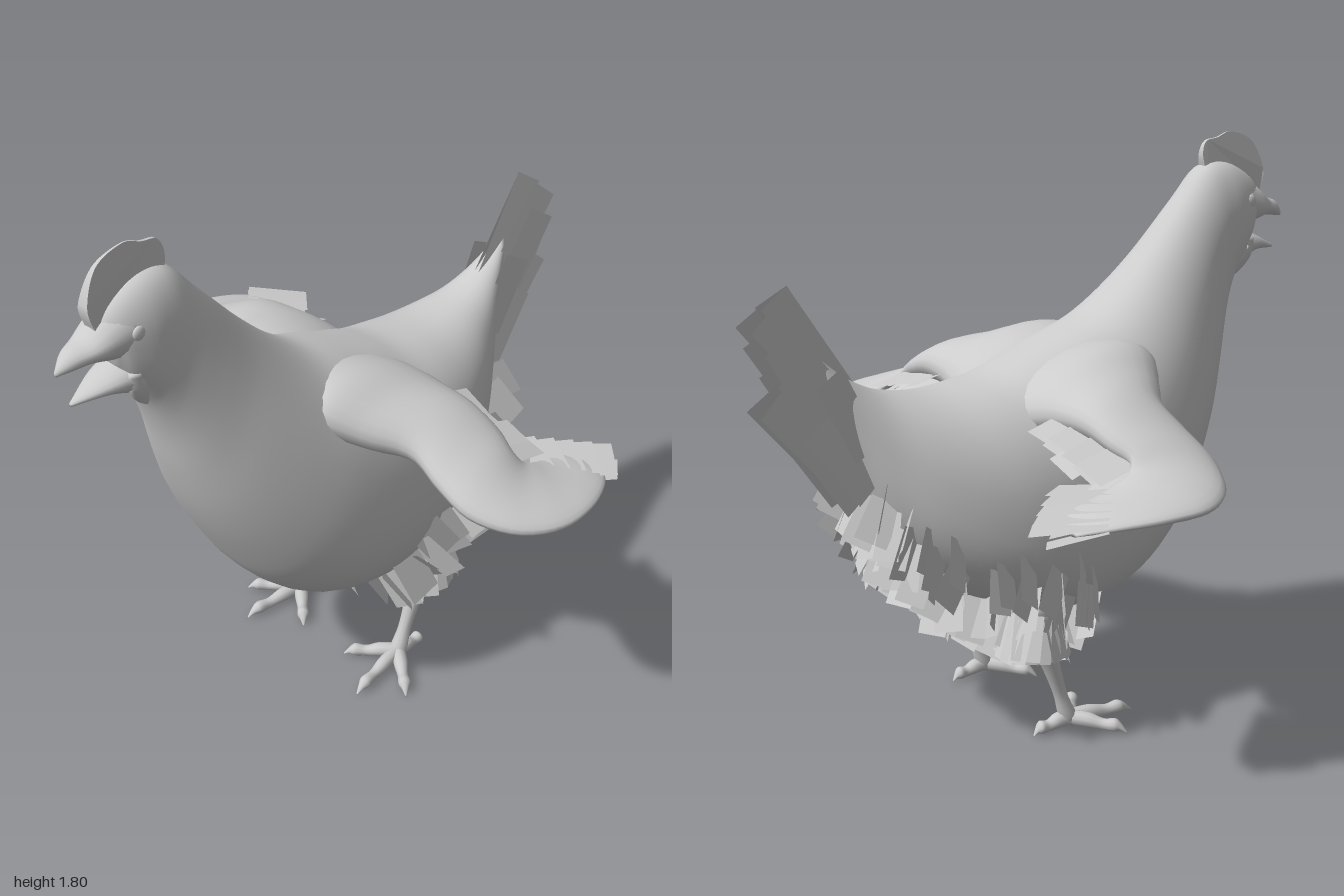
import * as THREE from 'three';
import { mergeGeometries } from 'three/addons/utils/BufferGeometryUtils.js';

const V = (x, y, z) => new THREE.Vector3(x, y, z);
const skin = new THREE.MeshStandardMaterial({ color: 0xcccccc });
const plume = new THREE.MeshStandardMaterial({ color: 0xcccccc, side: THREE.DoubleSide });
const rand = (i) => { const s = Math.sin(i * 127.1 + 11.7) * 43758.5453; return s - Math.floor(s); };

// Smooth surface through sections [ax,ay,az, bx,by,bz, halfWidth]; a and b are opposite rim points
function surface(sections, T, power = 1, sag = 0) {
  const A = new THREE.CatmullRomCurve3(sections.map(s => V(s[0], s[1], s[2])));
  const B = new THREE.CatmullRomCurve3(sections.map(s => V(s[3], s[4], s[5])));
  const W = new THREE.CatmullRomCurve3(sections.map((s, i) => V(s[6], i, 0)));
  const bend = (v) => Math.sign(v) * Math.abs(v) ** power;
  const mid = (u) => A.getPoint(u).add(B.getPoint(u)).multiplyScalar(0.5);
  const at = (u, t) => {
    const a = A.getPoint(u), m = mid(u), c = Math.cos(t);
    return m.clone().addScaledVector(a.sub(m), bend(c))
      .addScaledVector(T, W.getPoint(u).x * bend(Math.sin(t)) * (1 - sag * c));
  };
  return { mid, at };
}

function skinOf(surf, rows, cols) {
  const pos = [], idx = [];
  for (let i = 0; i <= rows; i++)
    for (let j = 0; j < cols; j++) pos.push(...surf.at(i / rows, j / cols * Math.PI * 2).toArray());
  const c0 = (rows + 1) * cols, c1 = c0 + 1;
  pos.push(...surf.mid(0).toArray(), ...surf.mid(1).toArray());
  for (let j = 0; j < cols; j++) {
    const k = (j + 1) % cols;
    for (let i = 0; i < rows; i++) {
      const a = i * cols + j, b = i * cols + k;
      idx.push(a, b, a + cols, b, b + cols, a + cols);
    }
    idx.push(c0, k, j, c1, rows * cols + j, rows * cols + k);
  }
  // Turn the faces outward whichever way the sections run
  const p = (i) => V(pos[i * 3], pos[i * 3 + 1], pos[i * 3 + 2]);
  let volume = 0;
  for (let i = 0; i < idx.length; i += 3) volume += p(idx[i]).dot(p(idx[i + 1]).cross(p(idx[i + 2])));
  if (volume < 0) idx.reverse();
  const g = new THREE.BufferGeometry();
  g.setAttribute('position', new THREE.Float32BufferAttribute(pos, 3));
  g.setIndex(idx);
  g.computeVertexNormals();
  return g;
}

// Round limb through points [x,y,z,r], with ring axes A and T
const limb = (pts, A, T) => skinOf(surface(pts.map(([x, y, z, r]) => [
  x + A.x * r, y + A.y * r, z + A.z * r, x - A.x * r, y - A.y * r, z - A.z * r, r]), T), pts.length * 4, 10);

// Flat quill: a rectangle from root along dir, its breadth lying along side
function feather(root, dir, side, length, width) {
  const y = dir.clone().normalize();
  const z = side.clone().cross(y).normalize();
  const x = y.clone().cross(z);
  return new THREE.PlaneGeometry(width, length).translate(0, length / 2, 0)
    .applyMatrix4(new THREE.Matrix4().makeBasis(x, y, z).setPosition(root));
}

export function createModel() {
  const hen = new THREE.Group();
  const add = (name, geometry, material = skin) => {
    const mesh = new THREE.Mesh(geometry, material);
    mesh.name = name;
    hen.add(mesh);
    return mesh;
  };
  const X = V(1, 0, 0), Y = V(0, 1, 0), Z = V(0, 0, 1);
  // Sections on the centre plane: top z,y, bottom z,y, half width
  const central = (list) => list.map(([tz, ty, bz, by, w]) => [0, ty, tz, 0, by, bz, w]);

  // Head, neck and body in one skin
  const body = surface(central([
    [.87, 1.61, .83, 1.48, .045], [.83, 1.655, .8, 1.42, .078], [.73, 1.705, .765, 1.36, .1],
    [.64, 1.70, .735, 1.3, .108], [.55, 1.61, .70, 1.2, .125], [.4, 1.45, .66, 1.05, .17],
    [.28, 1.34, .60, .88, .225], [.17, 1.265, .51, .7, .275], [.05, 1.22, .4, .53, .315],
    [-.1, 1.165, .25, .41, .34], [-.2, 1.13, .05, .35, .342], [-.3, 1.115, -.15, .37, .325],
    [-.4, 1.11, -.35, .46, .28], [-.5, 1.12, -.5, .59, .22], [-.6, 1.145, -.6, .74, .15],
    [-.7, 1.2, -.67, .92, .085], [-.79, 1.28, -.74, 1.1, .03],
  ]), X, .86, .1);
  add('body', skinOf(body, 64, 40));

  // Open beak
  add('upperBeak', skinOf(surface(central([
    [.78, 1.66, .79, 1.49, .085], [.86, 1.62, .85, 1.5, .075], [.91, 1.58, .91, 1.515, .055],
    [.96, 1.562, .96, 1.51, .034], [1, 1.52, 1, 1.505, .005]]), X), 16, 16));
  add('lowerBeak', skinOf(surface(central([
    [.78, 1.49, .78, 1.37, .08], [.86, 1.46, .86, 1.40, .058], [.965, 1.41, .965, 1.4, .006]]), X), 10, 16));

  // Comb: a lobed blade thinning upward
  const crest = new THREE.Shape();
  crest.moveTo(.88, 1.6);
  crest.splineThru([[.895, 1.67], [.85, 1.765], [.76, 1.8], [.7, 1.785], [.65, 1.775], [.633, 1.73], [.65, 1.66]]
    .map(([z, y]) => new THREE.Vector2(z, y)));
  const comb = new THREE.ExtrudeGeometry(crest, { depth: .044, bevelEnabled: false, curveSegments: 24 })
    .translate(0, 0, -.022).rotateY(-Math.PI / 2);
  const cp = comb.attributes.position;
  for (let i = 0; i < cp.count; i++)
    cp.setX(i, cp.getX(i) * THREE.MathUtils.clamp((1.82 - cp.getY(i)) / .17, .1, 1));
  comb.computeVertexNormals();
  add('comb', comb);

  const fluff = [];
  for (const s of [1, -1]) {
    const side = s > 0 ? 'left' : 'right';
    // Eye and wattle
    const eye = add(side + 'Eye', new THREE.SphereGeometry(.022, 16, 10));
    eye.position.set(s * .08, 1.58, .785);
    eye.scale.x = .5;
    add(side + 'Wattle', limb([[s * .065, 1.46, .79, .03], [s * .058, 1.4, .78, .035],
      [s * .048, 1.355, .765, .02], [s * .042, 1.33, .75, .004]], Z, V(.5, 0, 0)));

    // Bent wing growing out of the shoulder: leading rim, trailing rim, half thickness
    add(side + 'Wing', skinOf(surface([
      [0, 1.13, .22, 0, .98, -.22, .1], [.11, 1.145, .25, .12, 1.01, -.22, .117],
      [.21, 1.135, .275, .22, 1.04, -.2, .118], [.32, 1.09, .21, .32, 1.06, -.18, .097],
      [.44, 1.055, .13, .44, 1.06, -.17, .077],
      [.55, 1, .135, .54, 1.03, -.16, .065], [.67, .95, .13, .61, 1, -.14, .055],
      [.79, .92, .06, .63, .97, -.16, .042], [.86, .91, -.06, .63, .95, -.2, .034],
      [.86, .91, -.2, .62, .92, -.27, .028], [.81, .9, -.33, .62, .9, -.35, .02],
      [.74, .88, -.42, .65, .88, -.41, .01],
    ].map(([ax, ay, az, bx, by, bz, w]) => [s * ax, ay, az, s * bx, by, bz, w]), Y), 48, 24));

    // Flight feathers in layers along the hand, and a short row along the arm
    const quills = [];
    for (let i = 0; i < 10; i++) {
      const k = (i >> 1) / 4, low = i % 2, turn = .72 + k * .25 - low * .12;
      const dir = V(-s * Math.sin(turn), -.14 - .12 * low, -Math.cos(turn));
      quills.push(feather(V(s * (.775 - .13 * k), .91 + .03 * k - .02 * low, -.34 + .14 * k),
        dir, V(s * Math.cos(turn), .06 + .15 * low, -Math.sin(turn)), .21 - .01 * k - .04 * low, .12));
    }
    for (let i = 0; i < 8; i++) {
      const k = (i >> 1) / 3, low = i % 2;
      quills.push(feather(V(s * (.35 + .23 * k + .03 * low), 1.06 - .05 * k - .03 * low, -.11),
        V(s * .3 * (rand(i) - .5), -.25 - .2 * low, -1),
        V(1, -s * .3 + .3 * (rand(i + 9) - .5), 0), .12 + .04 * rand(i + 4), .11));
    }
    add(side + 'WingFeathers', mergeGeometries(quills), plume);

    // Leg and toes
    add(side + 'Leg', limb([[s * .23, .46, -.2, .045], [s * .235, .32, -.17, .042], [s * .24, .22, -.135, .029],
      [s * .24, .12, -.1, .023], [s * .24, .05, -.075, .03], [s * .24, .02, -.065, .028]], Z, X));
    for (const [name, tx, tz] of [['Inner', .1, .05], ['Middle', .27, .16], ['Outer', .39, .05], ['Hind', .235, -.2]]) {
      const dx = tx - .24, dz = tz + .07, n = Math.hypot(dx, dz);
      const pts = [[0, .036, .024], [.35, .034, .024], [.6, .026, .018], [.8, .028, .021], [.9, .022, .012], [1, .006, .003]]
        .map(([k, y, r]) => [s * (.24 + dx * k), y, -.07 + dz * k, r]);
      add(`${side}${name}Toe`, limb(pts, Y, V(s * dz / n, 0, -dx / n)));
    }

    // Skirt of feathers around the thigh
    for (let i = 0; i < 16; i++) {
      const a = i / 16 * Math.PI * 2, c = Math.cos(a), d = Math.sin(a);
      fluff.push(feather(V(s * (.235 + .05 * c), .39 + .05 * rand(i), -.19 + .07 * d),
        V(s * (.35 * c + .2 * (rand(i + 20) - .5)), -1, .35 * d - .1), V(-s * d, .3 * (rand(i + 50) - .5), c), .14, .09));
    }
  }

  // Loose feathers lying over the belly, flanks and rump
  for (let r = 0; r < 8; r++) {
    const u = .635 + r * .037, spread = 1.3 - .035 * r, count = 18 - r;
    for (let i = 0; i < count; i++) {
      const id = r * 40 + i, t = Math.PI + spread * (i / (count - 1) * 2 - 1) + (rand(id) - .5) * .12;
      const root = body.at(u + (rand(id + 7) - .5) * .02, t);
      if (root.z > .02) root.z = .02 - rand(id) * .05;
      const out = root.clone().sub(body.mid(u)).normalize();
      const dir = out.clone().multiplyScalar(.55)
        .add(V((rand(id + 3) - .5) * .6, -.55 + (rand(id + 5) - .5) * .4, -.3 - rand(id + 1) * .45));
      const across = dir.clone().cross(Math.abs(out.y) > .8 ? V(out.x, out.y * .4, -.6) : out).normalize()
        .addScaledVector(out, (rand(id + 2) - .5) * 1.8);
      fluff.push(feather(root.addScaledVector(out, -.01), dir, across, .125 + .045 * rand(id + 6), .085 + .03 * rand(id + 8)));
    }
  }
  add('rumpFeathers', mergeGeometries(fluff), plume);

  // Upright tail fan: root z,y, tip z,y, distance from the centre
  const tail = [];
  [[-.68, 1.1, -.9, 1.45, .02], [-.7, 1.08, -.95, 1.4, .04], [-.7, .98, -.92, 1.33, .05],
    [-.69, .92, -.88, 1.24, .06], [-.72, .9, -.935, 1.16, .035], [-.66, .98, -.78, 1.22, .07],
    [-.66, .86, -.82, 1.08, .075], [-.68, .82, -.8, 1.0, .04]].forEach(([z0, y0, z1, y1, x], i) => {
    for (const s of [1, -1]) {
      const dir = V(s * .01 * (i % 3 - 1), y1 - y0, z1 - z0);
      tail.push(feather(V(s * x, y0, z0), dir, V(s * -.2, .5, .85), dir.length(), .105));
    }
  });
  add('tailFeathers', mergeGeometries(tail), plume);

  return hen;
}
